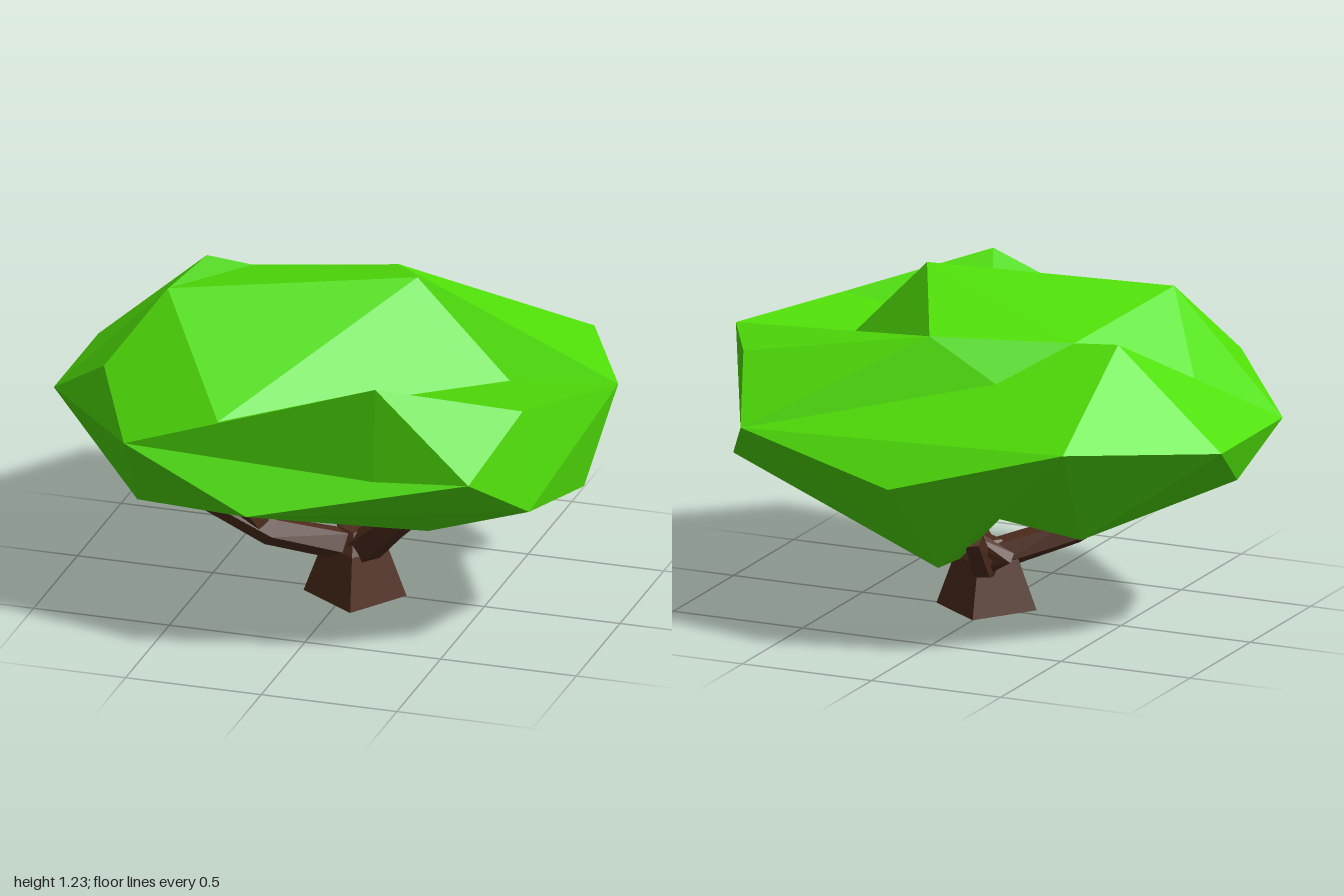
import * as THREE from 'three';
import { ConvexGeometry } from 'three/addons/geometries/ConvexGeometry.js';

const leaf = new THREE.MeshStandardMaterial({ color: 0x50e008, flatShading: true });
const bark = new THREE.MeshStandardMaterial({ color: 0x4e2d1e, flatShading: true });

// Key corners shared by neighbouring foliage lobes
const P = {
  crestLeft: [-0.58, 1.18, 0.27], crestRight: [0.26, 1.23, 0.02], crestBack: [0.06, 1.09, -0.39],
  crestWest: [-0.76, 0.93, 0.44],
  frontPeak: [0.33, 1.09, 0.72], valley: [0.6, 0.88, 0.02],
  eastTip: [1, 0.92, 0.02], eastFront: [0.78, 0.95, 0.43], eastBack: [0.78, 0.95, -0.39],
  frontL: [-0.61, 0.75, 0.68], frontR: [0.66, 0.75, 0.68], frontFold: [-0.26, 0.88, 0.69],
  frontSill: [0.31, 0.64, 0.69],
  westFront: [-1, 0.75, 0.27], westBack: [-1, 0.75, -0.24], westPeak: [-0.6, 1.1, -0.24],
  westFold: [-0.78, 0.93, 0.01], backFold: [-0.43, 1.085, -0.24], backFold2: [-0.24, 0.945, -0.43],
  backFold3: [0.33, 0.83, -0.46],
  backL: [-0.61, 0.82, -0.72], backMid: [0.03, 0.64, -0.8], backR: [0.67, 0.75, -0.65],
  lowFront: [-0.12, 0.58, 0.8], lowEastFront: [0.81, 0.58, 0.45], lowEast: [0.9, 0.55, 0.1],
  lowEastBack: [0.81, 0.58, -0.41], eastNotch: [0.72, 0.64, -0.24],
  underEast: [0.52, 0.43, -0.15], underFront: [0.38, 0.38, 0.27], underWest: [-0.65, 0.42, 0.4],
  underBackWest: [-0.53, 0.42, -0.4], lowWest: [-0.94, 0.58, 0.02],
  underBack: [-0.02, 0.28, -0.49], underBack2: [-0.04, 0.28, -0.35],
  core: [0, 0.6, 0],
};

// Each lobe is a faceted convex chunk
const lobes = {
  crownLobe: 'crestLeft crestRight crestBack crestWest valley frontL frontFold westFront westFold backFold backFold2 core',
  frontRightLobe: 'frontPeak frontFold eastFront frontL frontR frontSill lowEastFront lowEast core',
  eastLobe: 'eastTip eastFront valley frontFold frontR lowEastFront lowEast core',
  backRightLobe: 'crestBack eastBack eastTip valley backFold2 backFold3 backR lowEast eastNotch underEast core',
  westLobe: 'westPeak westBack westFront backFold backL backMid lowWest underWest underBackWest core',
  backLobe: 'westPeak backFold backL backMid backR underBack underBack2 core',
  lowerBackLobe: 'backMid backR lowEastBack underEast underBack underBack2 core',
  underLobe: 'lowEast underEast underFront underBack underBack2 core',
  lowerFrontLobe: 'frontL frontR westFront lowWest underWest lowFront lowEastFront underFront lowEast underEast core',
};

const vec = (a) => new THREE.Vector3(...a);

function hull(points, material, name) {
  const mesh = new THREE.Mesh(new ConvexGeometry(points), material);
  mesh.name = name;
  return mesh;
}

// Tapered, five-sided limb: each point is [x, y, z, radius]
function limb(path, name) {
  const group = new THREE.Group();
  group.name = name;
  const pts = path.map((p) => vec(p.slice(0, 3)));
  const rings = pts.map((p, i) => {
    const dir = pts[Math.min(i + 1, pts.length - 1)].clone().sub(pts[Math.max(i - 1, 0)]).normalize();
    const turn = new THREE.Quaternion().setFromUnitVectors(new THREE.Vector3(0, 1, 0), dir);
    return Array.from({ length: 5 }, (_, k) => {
      const a = (k / 5) * Math.PI * 2;
      return new THREE.Vector3(Math.cos(a), 0, Math.sin(a))
        .multiplyScalar(path[i][3]).applyQuaternion(turn).add(p);
    });
  });
  for (let i = 1; i < rings.length; i++) {
    group.add(hull([...rings[i - 1], ...rings[i]], bark, name + 'Segment'));
  }
  return group;
}

export function createModel() {
  const tree = new THREE.Group();
  tree.name = 'tree';

  // Foliage
  const canopy = new THREE.Group();
  canopy.name = 'canopy';
  for (const [name, keys] of Object.entries(lobes)) {
    canopy.add(hull(keys.split(' ').map((k) => vec(P[k])), leaf, name));
  }
  tree.add(canopy);

  // Flared trunk on a turned square base
  const base = [[0.07, 0.2], [0.21, -0.01], [0, -0.16], [-0.15, 0.05]];
  const trunk = [];
  for (const [x, z] of base) {
    trunk.push(new THREE.Vector3(x, 0, z));
    trunk.push(new THREE.Vector3(0.03 + (x - 0.03) * 0.64, 0.18, 0.02 + (z - 0.02) * 0.64));
    trunk.push(new THREE.Vector3(0.03 + (x - 0.03) * 0.3, 0.25, 0.02 + (z - 0.02) * 0.3));
  }
  tree.add(hull(trunk, bark, 'trunk'));

  // Branches
  tree.add(limb([[0, 0.19, 0.04, 0.06], [-0.23, 0.27, 0.18, 0.055], [-0.55, 0.47, 0.3, 0.04]], 'leftBranch'));
  tree.add(limb([[-0.25, 0.27, 0.18, 0.045], [-0.29, 0.36, 0.24, 0.04], [-0.29, 0.52, 0.27, 0.035]], 'leftTwig'));
  tree.add(limb([[0.06, 0.18, 0.04, 0.07], [0.19, 0.31, 0.13, 0.055], [0.34, 0.45, 0.21, 0.045]], 'rightBranch'));
  tree.add(limb([[0.01, 0.18, -0.03, 0.06], [-0.1, 0.24, -0.29, 0.045], [-0.12, 0.38, -0.42, 0.04]], 'backBranch'));
  tree.add(limb([[-0.08, 0.23, -0.24, 0.035], [-0.19, 0.29, -0.3, 0.035], [-0.08, 0.37, -0.36, 0.03]], 'backTwig'));

  return tree;
}
